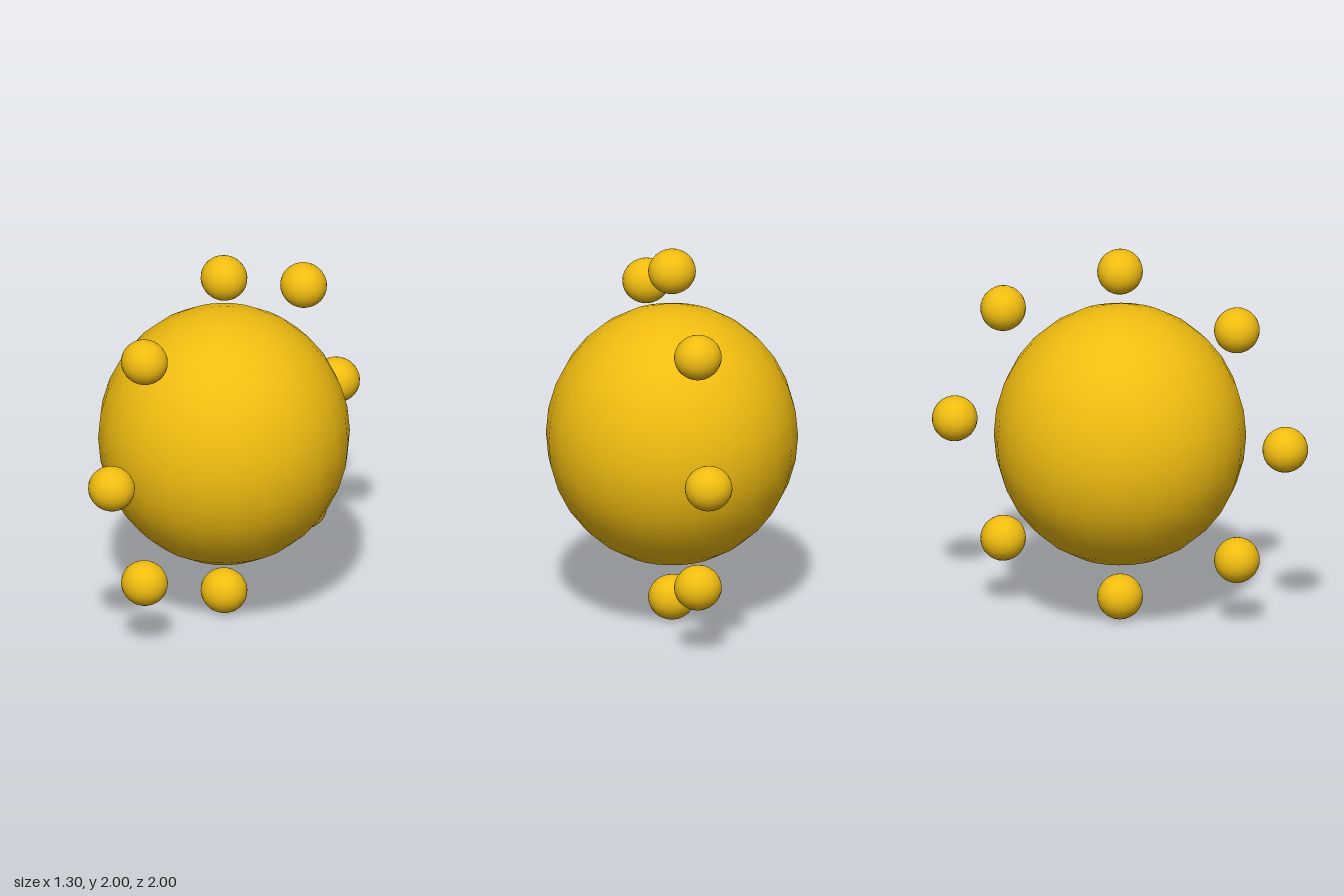
import * as THREE from 'three';

export function createModel() {
  const group = new THREE.Group();
  const material = new THREE.MeshStandardMaterial({ color: 0xf0bc10 });
  const unitSphere = new THREE.SphereGeometry(1, 24, 16);

  // Smooth ellipsoid with the given half sizes
  const addBall = (name, radii, position) => {
    const mesh = new THREE.Mesh(unitSphere, material);
    mesh.name = name;
    mesh.scale.set(...radii);
    mesh.position.set(...position);
    group.add(mesh);
  };

  // Large central body, slightly taller than wide
  addBall('centralBall', [0.648, 0.679, 0.648], [0, 1, 0]);

  // Eight small balls in an upright ring around the body
  const ringRadius = 0.883;
  for (let i = 0; i < 8; i++) {
    const a = (i * Math.PI) / 4;
    addBall(`ringBall${i + 1}`, [0.123, 0.117, 0.117],
      [0, 1 + ringRadius * Math.cos(a), ringRadius * Math.sin(a)]);
  }

  return group;
}
